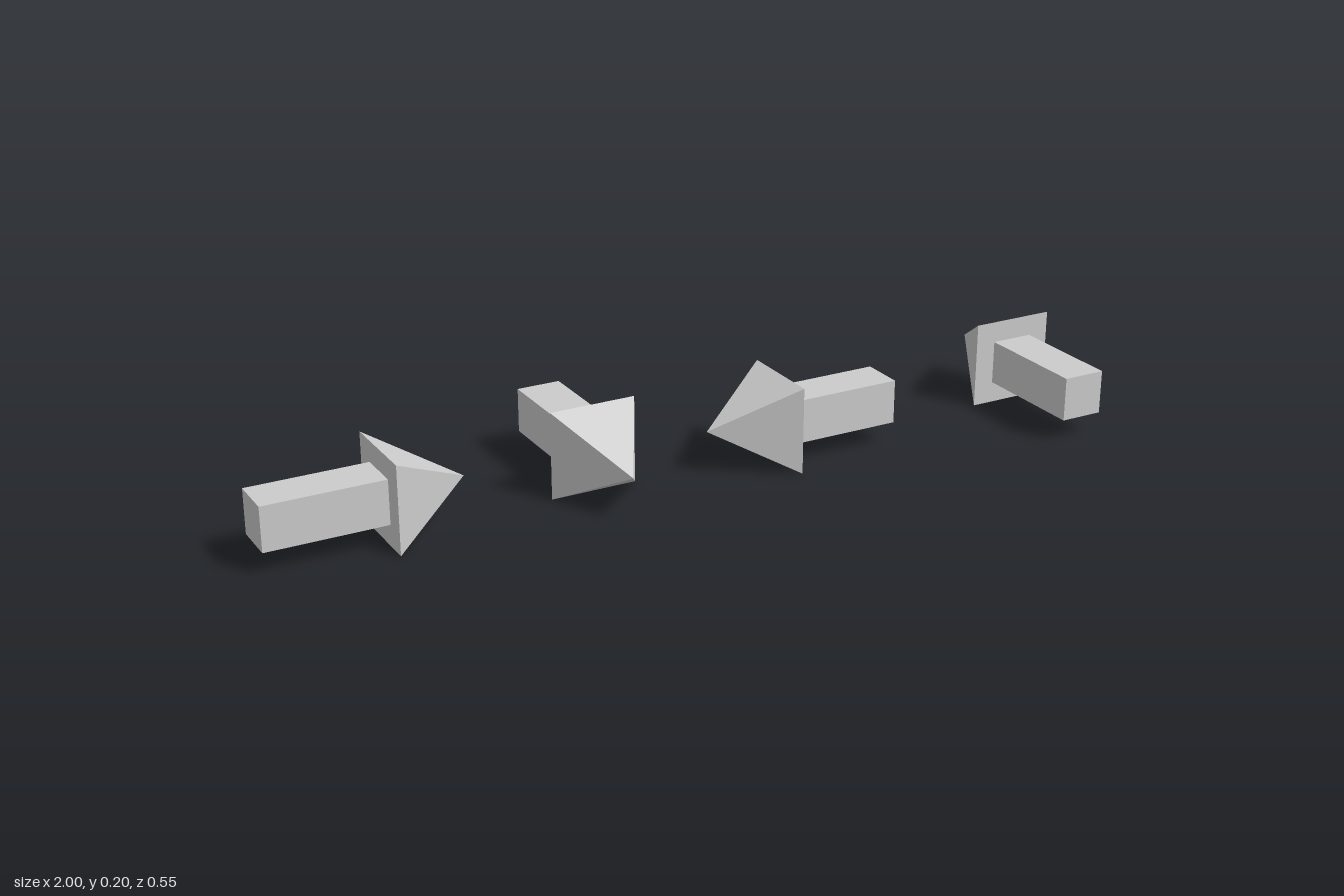
import * as THREE from 'three';

const SHAFT_WIDTH = 0.103, SHAFT_LENGTH = 0.276;
const HEAD_WIDTH = 0.204, HEAD_LENGTH = 0.189;

export function createModel() {
  const model = new THREE.Group();
  model.name = 'arrows';
  const material = new THREE.MeshStandardMaterial({ color: 0xcccccc, flatShading: true });

  // Square shaft behind the origin, pyramid head in front of it, pointing to +z
  const shaftGeometry = new THREE.BoxGeometry(SHAFT_WIDTH, SHAFT_WIDTH, SHAFT_LENGTH);
  shaftGeometry.translate(0, 0, -SHAFT_LENGTH / 2);
  const headGeometry = new THREE.ConeGeometry(HEAD_WIDTH / Math.SQRT2, HEAD_LENGTH, 4);
  headGeometry.rotateY(Math.PI / 4).rotateX(Math.PI / 2).translate(0, 0, HEAD_LENGTH / 2);

  function addArrow(name, x, z, turn) {
    const arrow = new THREE.Group();
    arrow.name = name;
    const shaft = new THREE.Mesh(shaftGeometry, material);
    shaft.name = 'shaft';
    const head = new THREE.Mesh(headGeometry, material);
    head.name = 'head';
    arrow.add(shaft, head);
    arrow.position.set(x, HEAD_WIDTH / 2, z);
    arrow.rotation.y = turn;
    model.add(arrow);
  }

  // One arrow for each horizontal direction
  addArrow('leftArrow', -0.724, 0, Math.PI / 2);
  addArrow('frontArrow', -0.228, 0, 0);
  addArrow('rightArrow', 0.221, 0.043, -Math.PI / 2);
  addArrow('backArrow', 0.898, 0, Math.PI);

  return model;
}
